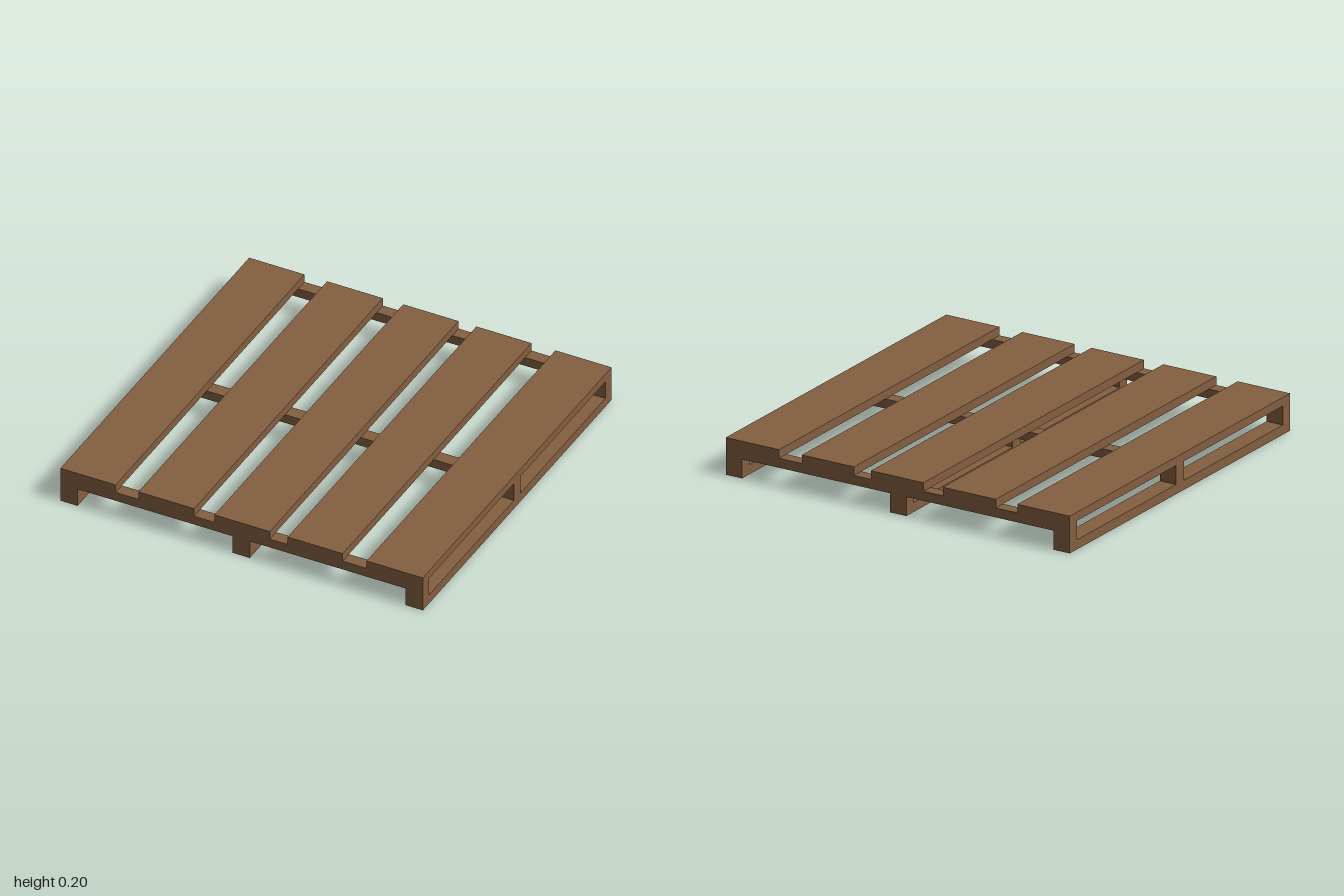
import * as THREE from 'three';

export function createModel() {
  const pallet = new THREE.Group();
  pallet.name = 'pallet';
  const wood = new THREE.MeshStandardMaterial({ color: 0x835f41 });
  wood.name = 'brown wood';

  // Box given by its extents on each axis
  const addBox = (name, [x0, x1], [y0, y1], [z0, z1]) => {
    const mesh = new THREE.Mesh(new THREE.BoxGeometry(x1 - x0, y1 - y0, z1 - z0), wood);
    mesh.position.set((x0 + x1) / 2, (y0 + y1) / 2, (z0 + z1) / 2);
    mesh.name = name;
    pallet.add(mesh);
  };

  const full = [-1, 1];
  const deckBoards = [[-1, -0.695], [-0.57, -0.262], [-0.15, 0.156], [0.254, 0.558], [0.69, 1]];
  const runners = [[-1, -0.905], [-0.05, 0.045], [0.905, 1]];
  const crossbars = [[-1, -0.934], [-0.035, 0.035], [0.934, 1]];

  // Unevenly spaced deck boards running front to back
  deckBoards.forEach((x, i) => addBox(`deckBoard${i + 1}`, x, [0.15, 0.195], full));

  // Crossbars carrying the deck
  crossbars.forEach((z, i) => addBox(`crossbar${i + 1}`, full, [0.1, 0.15], z));

  // Bottom runners, with spacer blocks up to each crossbar
  runners.forEach((x, i) => {
    addBox(`runner${i + 1}`, x, [0, 0.05], full);
    crossbars.forEach((z, j) => addBox(`block${i + 1}_${j + 1}`, x, [0.05, 0.1], z));
  });

  return pallet;
}
